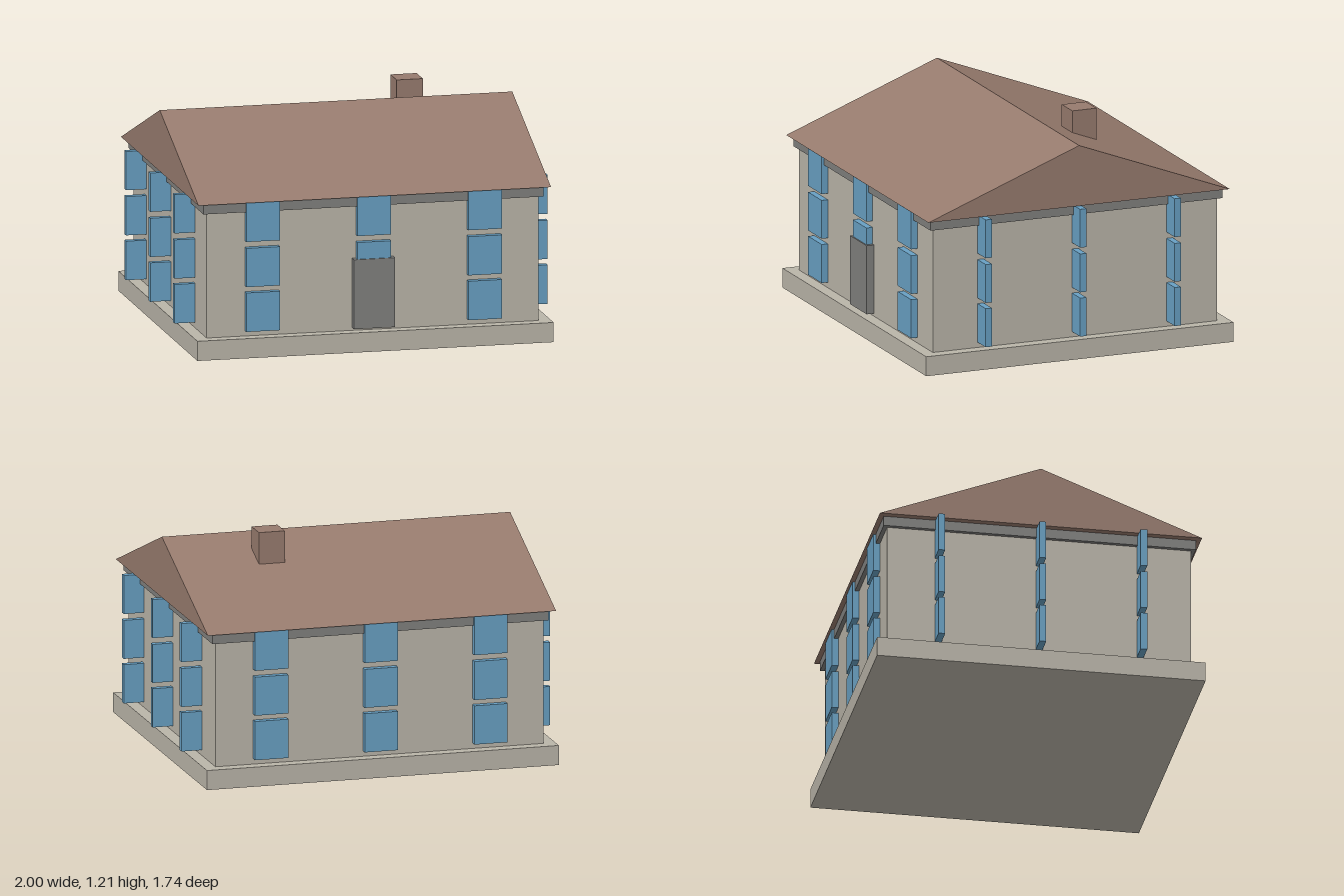
import * as THREE from 'three';

export function createModel() {
  const house = new THREE.Group();
  house.name = 'house';

  const material = (name, color) => {
    const m = new THREE.MeshStandardMaterial({ color });
    m.name = name;
    return m;
  };
  const stone = material('stone', 0xbab5a9);
  const grey = material('grey trim', 0x80807e);
  const brown = material('roof brown', 0x977b6e);
  const blue = material('window blue', 0x68a0c3);

  // Box given by its lower and upper limits on each axis
  const box = (name, mat, [x0, x1], [y0, y1], [z0, z1]) => {
    const mesh = new THREE.Mesh(new THREE.BoxGeometry(x1 - x0, y1 - y0, z1 - z0), mat);
    mesh.position.set((x0 + x1) / 2, (y0 + y1) / 2, (z0 + z1) / 2);
    mesh.name = name;
    house.add(mesh);
  };

  // Plinth, walls and cornice
  box('plinth', stone, [-0.955, 0.955], [0, 0.105], [-0.87, 0.87]);
  box('walls', stone, [-0.89, 0.89], [0.105, 0.78], [-0.805, 0.805]);
  box('cornice', grey, [-0.912, 0.912], [0.77, 0.822], [-0.827, 0.827]);

  // Gable roof: triangle in the z-y plane, extruded along x
  const gable = new THREE.Shape([
    new THREE.Vector2(-0.853, 0.824),
    new THREE.Vector2(0.853, 0.824),
    new THREE.Vector2(0, 1.15),
  ]);
  const roofGeometry = new THREE.ExtrudeGeometry(gable, { depth: 1.89, bevelEnabled: false });
  roofGeometry.translate(0, 0, -0.945).rotateY(Math.PI / 2);
  const roof = new THREE.Mesh(roofGeometry, brown);
  roof.name = 'roof';
  house.add(roof);

  box('chimney', brown, [0.362, 0.502], [1.0, 1.21], [-0.287, -0.15]);
  box('frontDoor', grey, [-0.11, 0.11], [0.12, 0.49], [0.78, 0.847]);

  // Three rows of windows, three to a wall
  const rows = [[0.134, 0.342], [0.373, 0.58], [0.614, 0.821]];
  rows.forEach((y, row) => {
    for (const i of [-1, 0, 1]) {
      const x = i * 0.595, z = i * 0.535;
      // The door takes the place of the lowest middle window
      if (row > 0 || i !== 0) box('frontWindow', blue, [x - 0.09, x + 0.09], y, [0.79, 0.84]);
      box('backWindow', blue, [x - 0.09, x + 0.09], y, [-0.84, -0.79]);
      box('leftWindow', blue, [0.82, 1], y, [z - 0.0175, z + 0.0175]);
      box('rightWindow', blue, [-1, -0.82], y, [z - 0.0175, z + 0.0175]);
    }
  });

  return house;
}
